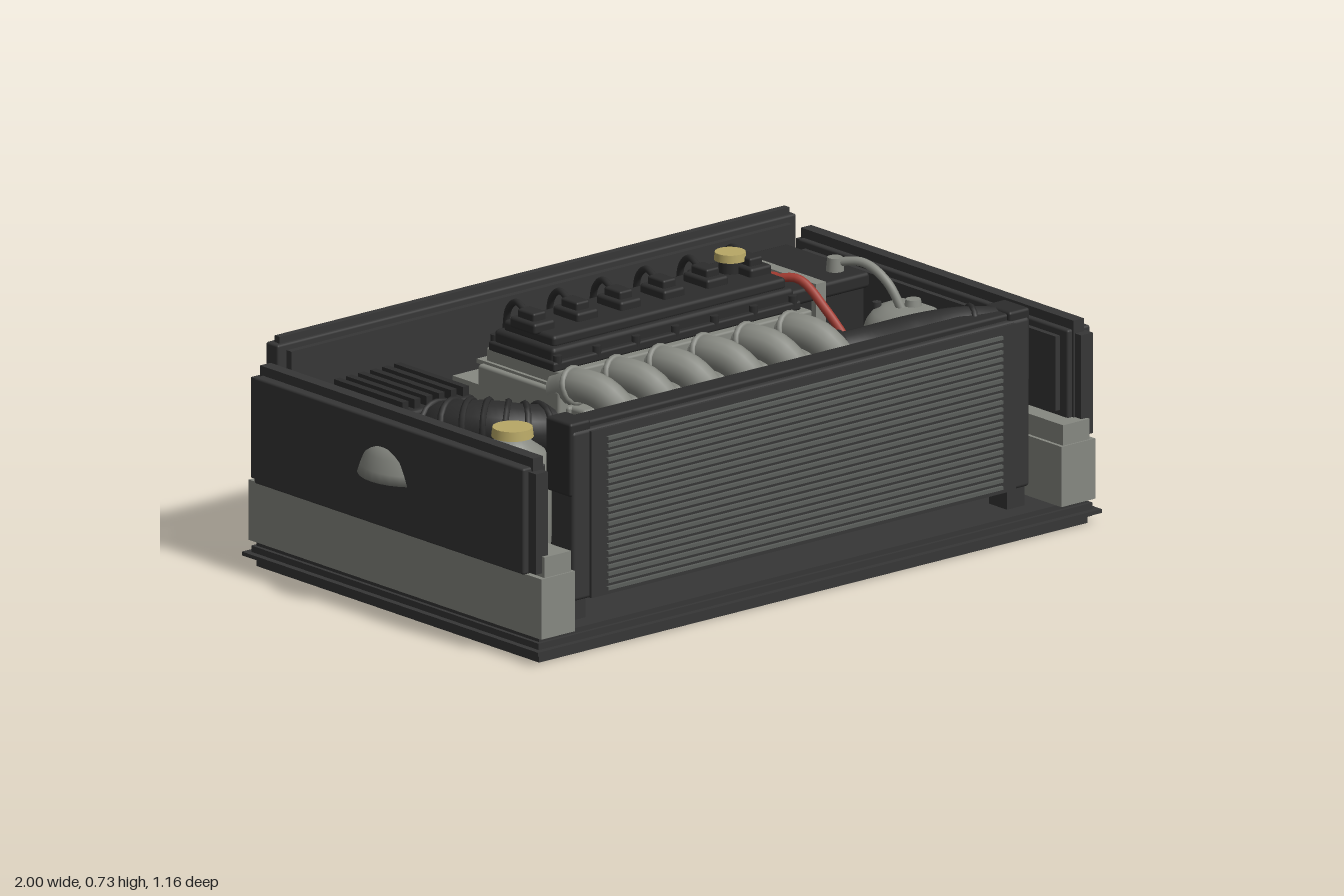
import * as THREE from 'three';
import { RoundedBoxGeometry } from 'three/addons/geometries/RoundedBoxGeometry.js';

const mat = (name, color) => Object.assign(new THREE.MeshStandardMaterial({ color }), { name });
const V = (p) => new THREE.Vector3(...p);

export function createModel() {
  const panel = mat('dark panel', 0x363636);
  const black = mat('engine black', 0x2c2c2c);
  const steel = mat('grey metal', 0x868881);
  const fin = mat('radiator fin', 0x5a5d5a);
  const gold = mat('yellow cap', 0xb8a866);
  const red = mat('red cable', 0xa03a30);
  const root = new THREE.Group();
  root.name = 'engineBay';

  const add = (name, geo, m, p = [0, 0, 0], parent = root) => {
    const mesh = new THREE.Mesh(geo, m);
    mesh.name = name;
    mesh.position.set(...p);
    parent.add(mesh);
    return mesh;
  };
  // Box given by its minimum and maximum on each axis
  const box = (name, m, x0, x1, y0, y1, z0, z1, r = 0) => {
    const s = [x1 - x0, y1 - y0, z1 - z0];
    const geo = r ? new RoundedBoxGeometry(...s, 2, r) : new THREE.BoxGeometry(...s);
    return add(name, geo, m, [(x0 + x1) / 2, (y0 + y1) / 2, (z0 + z1) / 2]);
  };
  const cyl = (name, m, r0, r1, y0, y1, x, z, n = 24) =>
    add(name, new THREE.CylinderGeometry(r1, r0, y1 - y0, n), m, [x, (y0 + y1) / 2, z]);
  const curve = (pts) => new THREE.CatmullRomCurve3(pts.map(V));
  const tube = (name, m, pts, r) => {
    const c = curve(pts);
    add(name, new THREE.TubeGeometry(c, 24, r, 12), m).material.side = THREE.DoubleSide;
    return c;
  };
  // Rings around a hose
  const rings = (name, m, c, ts, r, thick) => ts.forEach((t) => {
    const ring = add(name, new THREE.TorusGeometry(r, thick, 6, 20), m, c.getPointAt(t).toArray());
    ring.quaternion.setFromUnitVectors(new THREE.Vector3(0, 0, 1), c.getTangentAt(t));
  });

  // Base tray with a projecting rim
  box('floorTray', panel, -0.93, 0.93, 0, 0.068, -0.555, 0.555);
  box('trayRimStep', panel, -0.94, 0.94, 0.02, 0.055, -0.565, 0.565);
  box('trayRim', panel, -0.957, 0.957, 0.028, 0.038, -0.582, 0.582);

  // Side walls, sills and strut towers, mirrored
  for (const s of [-1, 1]) {
    const side = (name, m, a, b, ...rest) => box(name, m, Math.min(s * a, s * b), Math.max(s * a, s * b), ...rest);
    side('sill', steel, 0.825, 0.94, 0.068, 0.23, -0.575, 0.575);
    side('sillTop', steel, 0.835, 0.925, 0.23, 0.285, -0.57, 0.57);
    side('sideWall', panel, 0.885, 0.962, 0.235, 0.52, -0.53, 0.53, 0.006);
    side('sideWallTop', panel, 0.9, 0.935, 0.24, 0.545, -0.536, 0.536);
    side('sideWallEnds', panel, 0.905, 0.945, 0.24, 0.51, -0.56, 0.56);
    side('sideWallRib', panel, 0.87, 0.89, 0.3, 0.5, -0.5, 0.5);

    const profile = [[0, 0.365], [0.149, 0.365], [0.142, 0.39], [0.13, 0.425], [0.112, 0.45], [0.08, 0.463], [0.05, 0.468], [0, 0.468]];
    add('strutTower', new THREE.LatheGeometry(profile.map((p) => new THREE.Vector2(...p)), 32), steel, [s * 0.851, 0, -0.025]);
    cyl('strutLeg', steel, 0.075, 0.075, 0.068, 0.37, s * 0.80, -0.025);
    cyl('strutNut', steel, 0.025, 0.02, 0.46, 0.485, s * 0.84, -0.025, 12);
    for (const a of [-0.085, 0.085]) cyl('strutBolt', panel, 0.012, 0.012, 0.44, 0.468, s * 0.79, -0.025 + a, 8);
  }

  // Rear wall
  box('rearWall', panel, -0.88, 0.88, 0.068, 0.588, -0.578, -0.53, 0.006);
  box('rearWallTop', panel, -0.865, 0.865, 0.075, 0.606, -0.56, -0.54);
  box('rearWallInner', panel, -0.85, 0.85, 0.08, 0.57, -0.532, -0.512);

  // Radiator with finned front
  box('radiator', panel, -0.775, 0.775, 0.12, 0.575, 0.42, 0.51, 0.01);
  box('radiatorTopTank', black, -0.76, 0.76, 0.565, 0.592, 0.425, 0.495, 0.008);
  box('radiatorFrame', panel, -0.72, 0.72, 0.122, 0.57, 0.5, 0.518);
  for (let i = 0; i < 22; i++) {
    const y = 0.135 + i * 0.0192;
    box('radiatorFin', fin, -0.67, 0.67, y, y + 0.009, 0.516, 0.527);
  }
  for (const x of [-0.745, 0.745]) {
    box('radiatorBracket', black, x - 0.035, x + 0.035, 0.4, 0.598, 0.405, 0.505, 0.008);
    box('radiatorFoot', panel, x - 0.04, x + 0.02, 0.068, 0.13, 0.43, 0.5);
  }
  box('fanShroud', black, -0.28, 0.27, 0.15, 0.47, 0.37, 0.4);
  box('fanMotor', black, -0.035, 0.07, 0.25, 0.48, 0.31, 0.38, 0.01);

  // Engine block and head
  box('oilPan', black, -0.41, 0.32, 0.075, 0.14, -0.25, 0.2);
  box('engineBlock', steel, -0.46, 0.36, 0.13, 0.47, -0.33, 0.14);
  box('blockFlange', steel, -0.485, 0.375, 0.40, 0.43, -0.35, 0.16);
  box('blockDeck', steel, -0.48, 0.37, 0.45, 0.5, -0.21, 0.15, 0.008);
  box('endPlate', steel, 0.345, 0.39, 0.15, 0.545, -0.185, 0.17, 0.008);
  box('endPlateRear', steel, -0.505, -0.47, 0.2, 0.545, -0.18, 0.14, 0.008);
  box('cylinderHead', steel, -0.48, 0.365, 0.48, 0.587, -0.175, 0.13, 0.006);
  box('headLip', steel, -0.49, 0.38, 0.54, 0.552, -0.2, 0.138);

  // Valve cover
  box('coverBase', black, -0.495, 0.345, 0.587, 0.612, -0.15, 0.11, 0.006);
  box('valveCover', black, -0.485, 0.335, 0.6, 0.645, -0.14, 0.095, 0.012);
  box('coverTop', black, -0.47, 0.32, 0.64, 0.672, -0.12, 0.08, 0.01);
  for (let i = 0; i < 7; i++) {
    for (const z of [-0.145, 0.1]) cyl('coverBolt', black, 0.012, 0.012, 0.6, 0.628, -0.475 + i * 0.133, z, 8);
  }

  // Ignition coils, leads and intake runners for six cylinders
  for (let i = 0; i < 6; i++) {
    const x = -0.452 + i * 0.147;
    box('ignitionCoil', black, x - 0.036, x + 0.036, 0.665, 0.695, -0.075, 0.025, 0.008);
    box('coilTop', black, x - 0.022, x + 0.022, 0.69, 0.716, -0.06, 0.005, 0.006);
    tube('ignitionLead', black, [[x, 0.705, -0.05], [x + 0.012, 0.717, -0.1], [x + 0.03, 0.68, -0.155], [x + 0.04, 0.6, -0.178]], 0.009);
    const c = tube('intakeRunner', steel, [[x - 0.01, 0.53, 0.09], [x - 0.005, 0.56, 0.17], [x + 0.02, 0.545, 0.235], [x + 0.055, 0.47, 0.285], [x + 0.07, 0.33, 0.29], [x + 0.07, 0.22, 0.25]], 0.045);
    rings('runnerFlange', steel, c, [0.13], 0.044, 0.009);
  }
  box('manifoldRail', steel, -0.47, 0.33, 0.44, 0.5, 0.13, 0.2, 0.01);
  box('manifoldLog', steel, -0.45, 0.42, 0.18, 0.27, 0.14, 0.29, 0.02);

  // Oil filler
  cyl('oilFiller', black, 0.03, 0.03, 0.66, 0.708, 0.245, -0.055);
  cyl('oilCap', gold, 0.042, 0.04, 0.705, 0.726, 0.245, -0.055);

  // Alternator and belt drive
  add('alternator', new THREE.CylinderGeometry(0.078, 0.078, 0.14, 24).rotateZ(Math.PI / 2), steel, [0.42, 0.38, 0.165]);
  for (const [r, y, z] of [[0.08, 0.38, 0.145], [0.1, 0.25, -0.02], [0.055, 0.42, -0.065]]) {
    add('pulley', new THREE.CylinderGeometry(r, r, 0.03, 24).rotateZ(Math.PI / 2), black, [0.505, y, z]);
  }
  add('pulleyShaft', new THREE.CylinderGeometry(0.03, 0.03, 0.15, 12).rotateZ(Math.PI / 2), steel, [0.43, 0.25, -0.02]);

  // Upper radiator hose
  const hose = tube('radiatorHose', black, [[0.34, 0.5, 0.22], [0.44, 0.52, 0.27], [0.54, 0.55, 0.345], [0.63, 0.565, 0.41], [0.75, 0.55, 0.45]], 0.043);
  rings('hoseClamp', black, hose, [0.08, 0.78], 0.043, 0.008);

  // Air filter box and ribbed intake duct
  box('airBox', black, -0.8, -0.545, 0.1, 0.48, -0.435, -0.135, 0.012);
  box('airBoxLip', black, -0.815, -0.535, 0.4, 0.42, -0.445, -0.125);
  for (let i = 0; i < 6; i++) {
    const x = -0.785 + i * 0.041;
    box('airBoxRib', black, x, x + 0.02, 0.47, 0.505, -0.42, -0.15);
  }
  const duct = tube('intakeDuct', black, [[-0.68, 0.41, -0.15], [-0.68, 0.44, -0.07], [-0.63, 0.45, 0.02], [-0.56, 0.44, 0.08], [-0.47, 0.43, 0.1]], 0.068);
  rings('ductRib', black, duct, [0.12, 0.24, 0.36, 0.48, 0.6, 0.72, 0.84], 0.068, 0.009);

  // Coolant reservoir
  const tank = [[0, 0.15], [0.08, 0.15], [0.1, 0.18], [0.1, 0.38], [0.085, 0.425], [0.05, 0.45], [0.045, 0.47], [0, 0.47]];
  add('reservoir', new THREE.LatheGeometry(tank.map((p) => new THREE.Vector2(...p)), 28), steel, [-0.675, 0, 0.155]);
  cyl('reservoirCap', gold, 0.055, 0.052, 0.465, 0.49, -0.675, 0.155);

  // Battery with strap, terminals and cables
  box('battery', black, 0.46, 0.78, 0.068, 0.52, -0.455, -0.145, 0.01);
  box('batteryLid', black, 0.447, 0.79, 0.5, 0.542, -0.465, -0.135, 0.01);
  box('batteryStrap', steel, 0.598, 0.632, 0.3, 0.549, -0.473, -0.127);
  const cables = [
    ['positive', red, [[0.51, 0.565, -0.2], [0.55, 0.57, -0.14], [0.575, 0.5, -0.06], [0.62, 0.34, 0.06]]],
    ['negative', steel, [[0.73, 0.565, -0.205], [0.77, 0.57, -0.14], [0.79, 0.53, -0.07], [0.815, 0.43, -0.02]]],
  ];
  for (const [name, m, pts] of cables) {
    cyl(name + 'Terminal', m, 0.024, 0.02, 0.54, 0.578, pts[0][0], pts[0][2], 16);
    tube(name + 'Cable', m, pts, 0.012);
  }
  return root;
}
